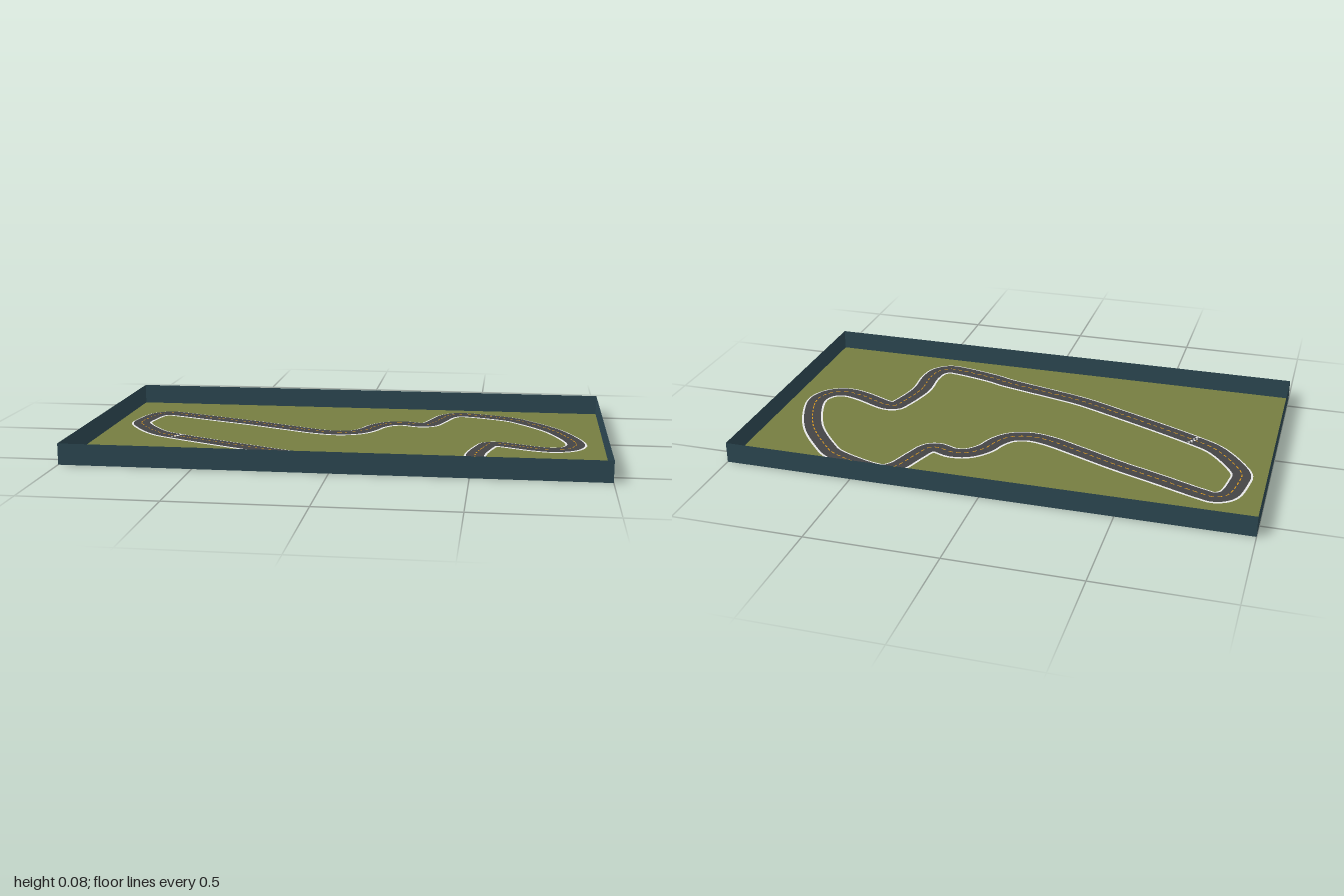
import * as THREE from 'three';
import { mergeGeometries } from 'three/addons/utils/BufferGeometryUtils.js';

const HALF_X = 1, HALF_Z = 0.575, WALL = 0.08;

const material = (name, color, side = THREE.FrontSide) => {
  const m = new THREE.MeshStandardMaterial({ color, side });
  m.name = name;
  return m;
};

// Centreline of the circuit as [x, z], clockwise from the back left corner
const route = [
  [-0.82, -0.347], [-0.78, -0.337], [-0.6, -0.268], [-0.42, -0.2], [-0.27, -0.135], [-0.13, -0.078],
  [-0.05, -0.066], [0.02, -0.09], [0.06, -0.14], [0.09, -0.21], [0.14, -0.262], [0.2, -0.275],
  [0.27, -0.253], [0.3, -0.265], [0.33, -0.335], [0.37, -0.44], [0.41, -0.474], [0.46, -0.473],
  [0.64, -0.405], [0.69, -0.36], [0.81, -0.21], [0.89, -0.01], [0.89, 0.05], [0.86, 0.1],
  [0.8, 0.122], [0.73, 0.107], [0.59, 0.05], [0.56, 0.055], [0.545, 0.09], [0.51, 0.23],
  [0.513, 0.36], [0.5, 0.43], [0.46, 0.466], [0.41, 0.464], [0.23, 0.42], [0.19, 0.403],
  [-0.16, 0.31], [-0.25, 0.275], [-0.68, 0.08], [-0.77, 0.027], [-0.86, -0.08], [-0.896, -0.15],
  [-0.893, -0.21], [-0.865, -0.32],
];
const path = new THREE.CatmullRomCurve3(
  route.map(([x, z]) => new THREE.Vector3(x, 0, z)), true, 'centripetal');
path.arcLengthDivisions = 1500;

// Flat strip following the path from u0 to u1, between two sideways offsets
function ribbon(u0, u1, inner, outer, y, steps) {
  const position = [], normal = [], index = [];
  for (let i = 0; i <= steps; i++) {
    const u = (u0 + (u1 - u0) * i / steps) % 1;
    const p = path.getPointAt(u), t = path.getTangentAt(u);
    for (const d of [inner, outer]) {
      position.push(p.x + t.z * d, y, p.z - t.x * d);
      normal.push(0, 1, 0);
    }
    if (i < steps) {
      const a = i * 2;
      index.push(a, a + 2, a + 1, a + 1, a + 2, a + 3);
    }
  }
  const g = new THREE.BufferGeometry();
  g.setAttribute('position', new THREE.Float32BufferAttribute(position, 3));
  g.setAttribute('normal', new THREE.Float32BufferAttribute(normal, 3));
  g.setIndex(index);
  return g;
}

export function createModel() {
  const group = new THREE.Group();
  const grass = material('grass green', 0x757d40, THREE.DoubleSide);
  const slate = material('slate blue', 0x2c4752, THREE.DoubleSide);
  const white = material('edge white', 0xe6e6e6);
  const asphalt = material('asphalt grey', 0x434345);
  const orange = material('line orange', 0xd8961a);

  const add = (name, geometry, mat) => {
    const mesh = new THREE.Mesh(geometry, mat);
    mesh.name = name;
    group.add(mesh);
    return mesh;
  };

  // Ground sheet, also seen from below
  add('ground', new THREE.PlaneGeometry(HALF_X * 2, HALF_Z * 2).rotateX(-Math.PI / 2), grass);

  // Thin walls around the ground
  for (const s of [1, -1]) {
    const turn = s > 0 ? 0 : Math.PI;
    add(s > 0 ? 'frontWall' : 'backWall',
      new THREE.PlaneGeometry(HALF_X * 2, WALL).rotateY(turn).translate(0, WALL / 2, s * HALF_Z), slate);
    add(s > 0 ? 'leftWall' : 'rightWall',
      new THREE.PlaneGeometry(HALF_Z * 2, WALL).rotateY(s * Math.PI / 2).translate(s * HALF_X, WALL / 2, 0), slate);
  }

  // Track: white border strip with the asphalt laid over it
  add('trackBorder', ribbon(0, 1, -0.042, 0.042, 0.0015, 500), white);
  add('trackSurface', ribbon(0, 1, -0.034, 0.034, 0.003, 500), asphalt);

  // Dashed centre line
  const dashes = [], count = 150;
  for (let i = 0; i < count; i++) {
    dashes.push(ribbon(i / count, (i + 0.6) / count, -0.0022, 0.0022, 0.0045, 3));
  }
  add('centreLine', mergeGeometries(dashes), orange);

  // Chequered start line across the left straight
  let start = 0, best = Infinity;
  for (let i = 0; i < 1000; i++) {
    const p = path.getPointAt(i / 1000);
    const d = Math.hypot(p.x + 0.68, p.z - 0.08);
    if (d < best) { best = d; start = i / 1000; }
  }
  const cells = [], across = 8, size = 0.068 / across, du = size / path.getLength();
  for (let row = 0; row < 2; row++) {
    for (let c = row; c < across; c += 2) {
      const d = -0.034 + c * size;
      cells.push(ribbon(start + (row - 1) * du, start + row * du, d, d + size, 0.006, 1));
    }
  }
  add('startLine', mergeGeometries(cells), white);

  return group;
}
